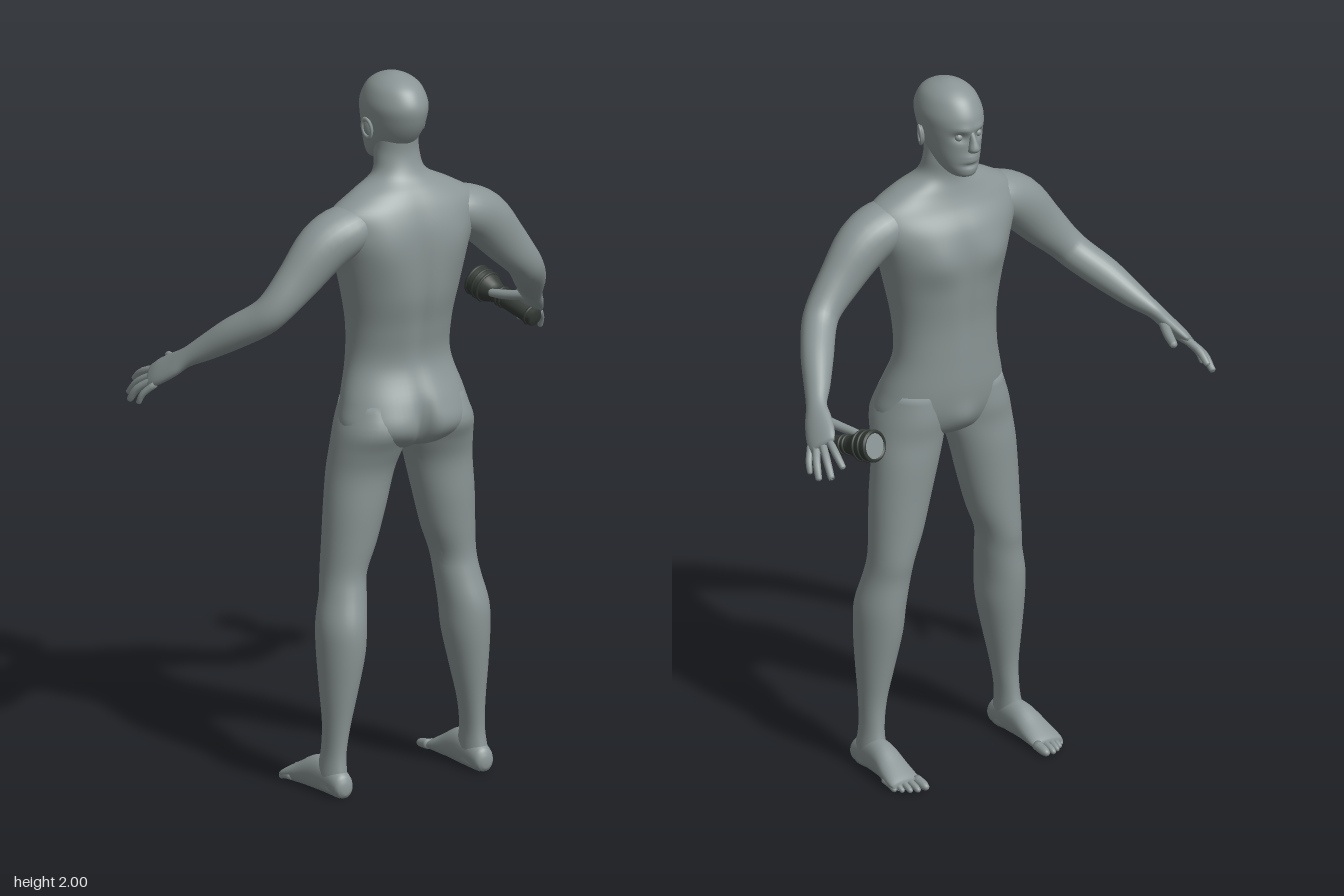
import * as THREE from 'three';

const skin = new THREE.MeshStandardMaterial({ color: 0x8b9595 });
skin.name = 'greySkin';
const dark = new THREE.MeshStandardMaterial({ color: 0x343a35 });
dark.name = 'darkMetal';
const V = (x, y, z) => new THREE.Vector3(x, y, z);
const bump = (d, w) => Math.exp(-(d * d) / (w * w));

// Smooth closed skin over rings [x, y, z, radiusU, radiusV]; side s = -1 mirrors it.
function loft(rings, { s = 1, ref = [1, 0, 0], axis, sides = 24, steps = 4, mould } = {}) {
  const path = new THREE.CatmullRomCurve3(rings.map((r) => V(r[0] * s, r[1], r[2])), false, 'catmullrom');
  const size = new THREE.CatmullRomCurve3(rings.map((r) => V(r[3], r[4], 0)), false, 'catmullrom');
  const n = (rings.length - 1) * steps;
  const pos = [], idx = [];
  const add = (p) => { if (mould) mould(p); pos.push(p.x, p.y, p.z); };
  for (let i = 0; i <= n; i++) {
    const c = path.getPoint(i / n), r = size.getPoint(i / n);
    const T = axis ? V(...axis) : path.getTangent(i / n);
    const U = V(ref[0] * s, ref[1], ref[2]);
    U.addScaledVector(T, -U.dot(T)).normalize();
    const W = T.clone().cross(U);
    for (let j = 0; j < sides; j++) {
      const a = (j / sides) * Math.PI * 2;
      add(c.clone().addScaledVector(U, Math.cos(a) * r.x).addScaledVector(W, Math.sin(a) * r.y));
      const k = (j + 1) % sides, b = i * sides;
      if (i < n) idx.push(b + j, b + k, b + sides + j, b + k, b + sides + k, b + sides + j);
    }
  }
  const first = pos.length / 3;
  add(path.getPoint(0));
  add(path.getPoint(1));
  for (let j = 0; j < sides; j++) {
    const k = (j + 1) % sides;
    idx.push(first, k, j, first + 1, n * sides + j, n * sides + k);
  }
  const g = new THREE.BufferGeometry();
  g.setAttribute('position', new THREE.Float32BufferAttribute(pos, 3));
  g.setIndex(idx);
  g.computeVertexNormals();
  return g;
}

function mesh(parent, name, geometry, material = skin) {
  const m = new THREE.Mesh(geometry, material);
  m.name = name;
  parent.add(m);
  return m;
}

// Horizontal slice from centre x, height, half width, front z and back z
const slice = (x, y, rx, front, back) => [x, y, (front + back) / 2, rx, (back - front) / 2];

// Finger or toe: tapering, round-ended
function digit(a, b, c, r, s) {
  const end = V(...c), d = end.clone().sub(V(...b)).normalize();
  const at = (k) => end.clone().addScaledVector(d, -k * r).toArray();
  return loft([[...a, r, r], [...b, r * 0.95, r * 0.95], [...at(0.8), r * 0.8, r * 0.8],
    [...at(0.2), r * 0.5, r * 0.5], [...c, r * 0.08, r * 0.08]], { s, ref: [1, 1, 0], sides: 12, steps: 3 });
}

function buildTorso(body) {
  const rings = [
    [0.955, 0.05, 0.12, 0.2], [0.98, 0.15, 0.08, 0.265], [1.03, 0.195, 0.056, 0.3], [1.1, 0.183, 0.043, 0.291],
    [1.2, 0.156, 0.04, 0.252], [1.3, 0.155, 0.037, 0.264], [1.4, 0.172, 0.027, 0.286], [1.5, 0.197, 0.022, 0.292],
    [1.58, 0.225, 0.035, 0.288], [1.64, 0.222, 0.068, 0.272], [1.685, 0.155, 0.085, 0.248],
    [1.725, 0.08, 0.092, 0.215], [1.78, 0.064, 0.085, 0.197], [1.84, 0.06, 0.09, 0.2],
  ].map(([y, rx, f, b]) => slice(0, y, rx, f, b));
  mesh(body, 'torso', loft(rings, {
    axis: [0, 1, 0], sides: 72, steps: 6,
    mould: (p) => {
      const ax = Math.abs(p.x);
      if (p.z > 0.18) {
        p.z -= 0.035 * bump(p.x, 0.02) * bump(p.y - 1.02, 0.07);  // cleft
        p.z -= 0.012 * bump(p.x, 0.025) * bump(p.y - 1.38, 0.2);  // spine
        p.z += 0.01 * bump(ax - 0.1, 0.06) * bump(p.y - 1.03, 0.06);
        p.z += 0.012 * bump(ax - 0.12, 0.06) * bump(p.y - 1.53, 0.09);  // shoulder blades
      } else if (p.z < 0.13) {
        p.z -= 0.014 * bump(ax - 0.09, 0.06) * bump(p.y - 1.5, 0.06);  // chest
        p.z += 0.006 * bump(p.x, 0.018) * bump(p.y - 1.38, 0.17);
        p.z -= 0.012 * bump(p.x, 0.04) * bump(p.y - 1.02, 0.04);
      }
    },
  }));
}

function buildHead(body) {
  const head = new THREE.Group();
  head.name = 'head';
  body.add(head);
  const rings = [
    [1.742, 0.012, 0.045, 0.07], [1.75, 0.034, 0.025, 0.11], [1.77, 0.05, 0.018, 0.15], [1.8, 0.063, 0.017, 0.185],
    [1.84, 0.074, 0.016, 0.218], [1.88, 0.081, 0.012, 0.237], [1.92, 0.083, 0.015, 0.243],
    [1.96, 0.07, 0.037, 0.224], [1.983, 0.049, 0.066, 0.194], [1.996, 0.022, 0.1, 0.158], [2, 0.003, 0.126, 0.132],
  ].map(([y, rx, f, b]) => slice(0, y, rx, f, b));
  mesh(head, 'skull', loft(rings, {
    axis: [0, 1, 0], sides: 64, steps: 6,
    mould: (p) => {
      if (p.z > 0.09) return;
      const ax = Math.abs(p.x);
      p.z += 0.014 * bump(ax - 0.031, 0.017) * bump(p.y - 1.868, 0.013);  // eye sockets
      p.z -= 0.005 * bump(ax - 0.025, 0.025) * bump(p.y - 1.892, 0.01);   // brow
      p.z -= 0.005 * bump(p.x, 0.022) * (bump(p.y - 1.808, 0.006) + bump(p.y - 1.795, 0.006)); // lips
      p.z += 0.006 * bump(p.x, 0.025) * bump(p.y - 1.782, 0.007);
    },
  }));
  mesh(head, 'nose', loft([[0, 1.885, 0.02, 0.007, 0.008], [0, 1.86, 0.012, 0.009, 0.014],
    [0, 1.838, 0.006, 0.015, 0.016], [0, 1.827, 0.012, 0.013, 0.014], [0, 1.823, 0.016, 0.004, 0.006]],
  { axis: [0, -1, 0], sides: 16 }));
  for (const s of [1, -1]) {
    mesh(head, 'eye', new THREE.SphereGeometry(0.011, 16, 12)).position.set(0.031 * s, 1.868, 0.035);
    const ear = new THREE.Group();
    ear.name = 'ear';
    ear.position.set(0.086 * s, 1.855, 0.132);
    ear.rotation.set(-0.15, -0.35 * s, -0.15 * s);
    head.add(ear);
    mesh(ear, 'earShell', new THREE.SphereGeometry(1, 16, 12)).scale.set(0.007, 0.029, 0.017);
    const rim = mesh(ear, 'earRim', new THREE.TorusGeometry(0.015, 0.004, 8, 24));
    rim.rotation.y = Math.PI / 2;
    rim.scale.set(1, 1.75, 1);
    rim.position.x = 0.005 * s;
  }
}

function buildLeg(body, s) {
  const leg = new THREE.Group();
  leg.name = s > 0 ? 'leftSideLeg' : 'rightSideLeg';
  body.add(leg);
  const rings = [
    [0.1, 1.1, 0.075, 0.065, 0.265], [0.105, 1.03, 0.096, 0.06, 0.288], [0.111, 0.97, 0.102, 0.066, 0.264],
    [0.125, 0.9, 0.096, 0.066, 0.241], [0.142, 0.8, 0.087, 0.07, 0.235], [0.158, 0.7, 0.075, 0.073, 0.226],
    [0.175, 0.62, 0.062, 0.077, 0.219], [0.183, 0.56, 0.062, 0.086, 0.23], [0.196, 0.48, 0.066, 0.09, 0.25],
    [0.2, 0.4, 0.064, 0.099, 0.25], [0.208, 0.3, 0.051, 0.116, 0.238], [0.216, 0.2, 0.036, 0.131, 0.224],
    [0.222, 0.12, 0.03, 0.128, 0.218], [0.225, 0.06, 0.034, 0.115, 0.226], [0.225, 0.015, 0.034, 0.12, 0.232],
  ].map((r) => slice(...r));
  mesh(leg, 'leg', loft(rings, { s, axis: [0, -1, 0], sides: 32 }));
  mesh(leg, 'foot', loft([
    [0.225, 0.03, 0.241, 0.012, 0.015], [0.225, 0.036, 0.225, 0.03, 0.036], [0.225, 0.048, 0.16, 0.036, 0.05],
    [0.228, 0.047, 0.1, 0.04, 0.048], [0.232, 0.033, 0.045, 0.046, 0.033], [0.234, 0.023, 0.005, 0.048, 0.021],
    [0.235, 0.018, -0.014, 0.043, 0.014],
  ], { s, axis: [0, 0, -1], sides: 28, mould: (p) => { p.y = Math.max(p.y, 0.004); } }));
  // toes: x, radius, tip z
  for (const [x, r, z] of [[0.198, 0.014, -0.06], [0.222, 0.01, -0.056], [0.241, 0.0095, -0.046],
    [0.258, 0.009, -0.032], [0.273, 0.009, -0.016]]) {
    mesh(leg, 'toe', digit([x, 0.022, z + 0.055], [x, 0.018, z + 0.025], [x, r, z], r, s));
  }
}

function buildArm(body, s) {
  const arm = new THREE.Group();
  arm.name = s > 0 ? 'leftSideArm' : 'rightSideArm';
  body.add(arm);
  mesh(arm, 'armAndPalm', loft([
    [0.1, 1.61, 0.175, 0.05, 0.06], [0.18, 1.595, 0.175, 0.068, 0.08], [0.255, 1.555, 0.172, 0.074, 0.072],
    [0.33, 1.475, 0.166, 0.063, 0.056], [0.39, 1.41, 0.155, 0.051, 0.05], [0.425, 1.37, 0.13, 0.048, 0.048],
    [0.475, 1.32, 0.065, 0.045, 0.045], [0.52, 1.27, 0, 0.034, 0.037], [0.553, 1.237, -0.045, 0.023, 0.031],
    [0.572, 1.21, -0.08, 0.021, 0.041], [0.592, 1.182, -0.122, 0.018, 0.045], [0.604, 1.166, -0.15, 0.011, 0.038],
  ], { s, ref: [1, 1, 0], sides: 28 }));
  // fingers: knuckle, middle joint, tip
  const fingers = [
    [[0.58, 1.187, -0.135], [0.596, 1.165, -0.195], [0.599, 1.132, -0.241]],
    [[0.596, 1.173, -0.132], [0.617, 1.142, -0.187], [0.627, 1.1, -0.226]],
    [[0.608, 1.162, -0.123], [0.635, 1.13, -0.165], [0.646, 1.09, -0.192]],
    [[0.616, 1.154, -0.107], [0.638, 1.125, -0.132], [0.645, 1.093, -0.148]],
  ];
  fingers.forEach(([a, b, c], i) => mesh(arm, 'finger', digit(a, b, c, i === 3 ? 0.0095 : 0.0115, s)));
  mesh(arm, 'thumb', digit([0.565, 1.215, -0.07], [0.537, 1.203, -0.138], [0.515, 1.197, -0.2], 0.014, s));
}

function buildTorch(parent) {
  const torch = new THREE.Group();
  torch.name = 'torch';
  const tail = V(0.585, 1.145, -0.075), tip = V(0.535, 1.205, -0.298);
  torch.position.copy(tail);
  torch.quaternion.setFromUnitVectors(V(0, 1, 0), tip.clone().sub(tail).normalize());
  parent.add(torch);
  const lathe = (name, pts) => mesh(torch, name,
    new THREE.LatheGeometry(pts.map(([x, y]) => new THREE.Vector2(x, y)), 32), dark);
  lathe('handle', [[0, 0], [0.02, 0], [0.025, 0.006], [0.025, 0.145], [0.03, 0.16], [0.039, 0.182], [0.041, 0.19]]);
  lathe('lampHead', [[0.03, 0.186], [0.041, 0.19], [0.042, 0.232], [0.042, 0.237], [0.036, 0.237], [0.034, 0.23]]);
  // raised grip bands and head rings
  for (const [y, r] of [[0.02, 0.025], [0.12, 0.025], [0.135, 0.025], [0.19, 0.041], [0.21, 0.041], [0.232, 0.041]]) {
    const ring = mesh(torch, 'ring', new THREE.TorusGeometry(r, 0.004, 8, 32), dark);
    ring.rotation.x = Math.PI / 2;
    ring.position.y = y;
  }
  mesh(torch, 'lens', new THREE.CylinderGeometry(0.036, 0.036, 0.006, 32), skin).position.y = 0.231;
}

export function createModel() {
  const model = new THREE.Group();
  model.name = 'figureWithTorch';
  const body = new THREE.Group();
  body.name = 'body';
  model.add(body);
  buildTorso(body);
  buildHead(body);
  for (const s of [1, -1]) {
    buildLeg(body, s);
    buildArm(body, s);
  }
  buildTorch(model);
  return model;
}
